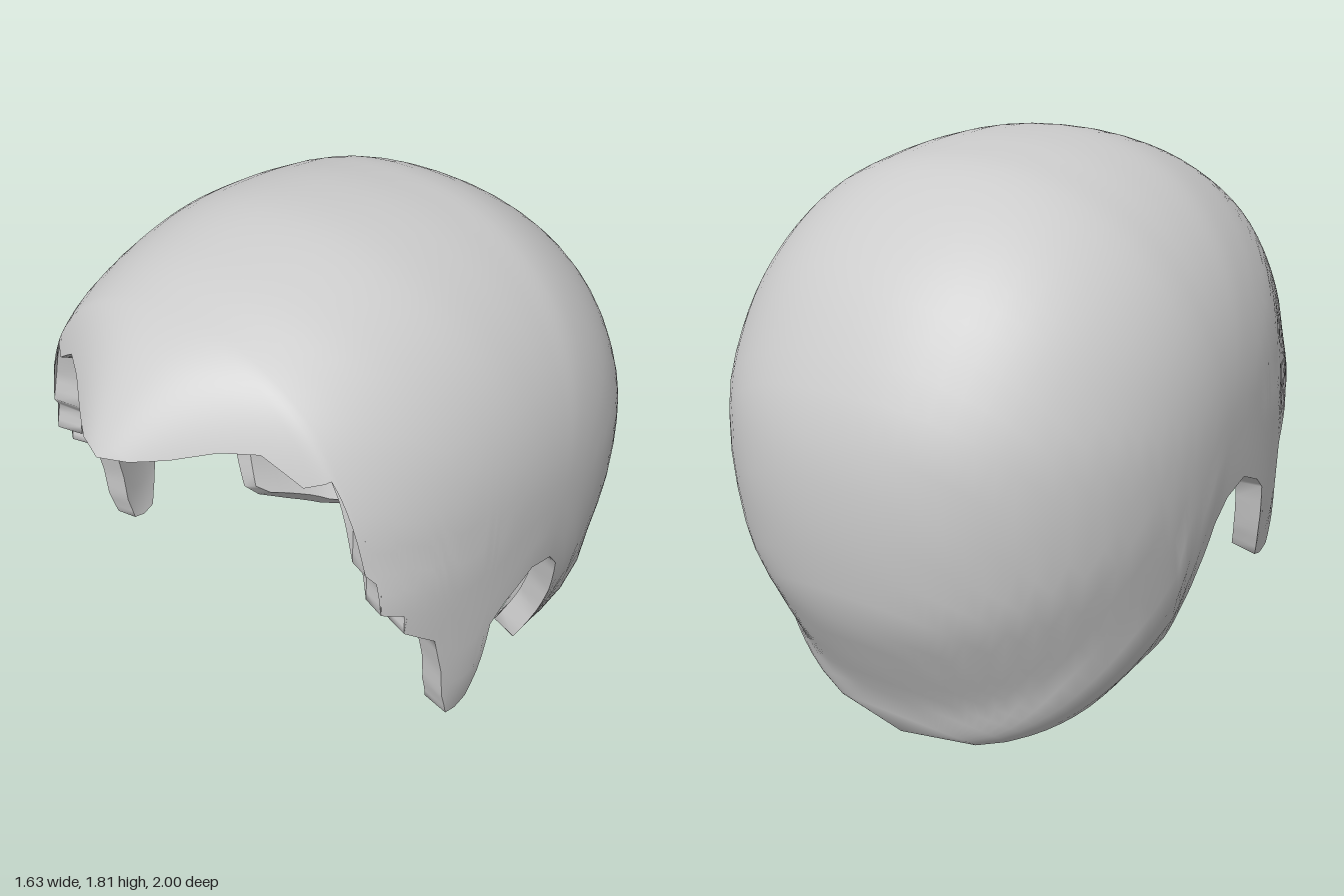
import * as THREE from 'three';

const CZ = -0.1, CY = 1.0;      // centre of the skull in the side plane
const HALF_WIDTH = 0.815, POWER = 2.2, THICKNESS = 0.088;
const SIDE_STEPS = 20, RIM_STEPS = 3;

// Side outline of the full skull form (z, y); its lower front part is cut away by the rim
const OUTLINE = [
  [1, 1.37], [0.8, 1.59], [0.6, 1.7], [0.43, 1.76], [0.22, 1.805], [0, 1.81], [-0.18, 1.795],
  [-0.37, 1.76], [-0.57, 1.66], [-0.75, 1.51], [-0.88, 1.33], [-0.975, 1.12], [-1, 0.9],
  [-0.985, 0.7], [-0.95, 0.53], [-0.87, 0.36], [-0.77, 0.17], [-0.7, 0],
  [-0.53, -0.09], [-0.2, -0.11], [0.25, -0.3], [1.12, -0.46], [1.23, 0.43], [1.2, 0.93], [1.09, 1.17],
];

// Hairline (z, y) and the angle at which its rib leaves the parting line
const RIM = [
  // fringe
  [1, 1.37, 18.6], [0.9, 1.395, 25], [0.82, 1.425, 30], [0.76, 1.43, 32], [0.72, 1.355, 33.5],
  [0.67, 1.38, 35], [0.65, 1.43, 36],
  // ragged temple and sideburn
  [0.64, 1.2, 38], [0.655, 1.1, 40], [0.62, 1.05, 42], [0.63, 0.96, 43], [0.55, 0.92, 46],
  [0.56, 0.86, 47], [0.45, 0.77, 52], [0.42, 0.63, 55], [0.41, 0.52, 57], [0.38, 0.42, 60],
  [0.33, 0.405, 63], [0.28, 0.42, 66],
  // ear opening
  [0.25, 0.52, 68], [0.22, 0.7, 71], [0.16, 0.75, 76], [0.03, 0.81, 85], [-0.08, 0.78, 95],
  [-0.14, 0.71, 103], [-0.18, 0.55, 118], [-0.19, 0.42, 130], [-0.165, 0.28, 145],
  // nape
  [-0.21, 0.23, 165], [-0.33, 0.165, 190], [-0.46, 0.1, 210], [-0.58, 0.065, 226], [-0.7, 0, 239],
];

// Outline as a table of angle and radius around the skull centre
const TAU = Math.PI * 2;
const START = Math.atan2(OUTLINE[0][1] - CY, OUTLINE[0][0] - CZ);
const wrap = (a) => (((a - START) % TAU) + TAU) % TAU;
const polar = new THREE.CatmullRomCurve3(OUTLINE.map(([z, y]) => new THREE.Vector3(z - CZ, y - CY, 0)), true)
  .getPoints(500)
  .map((p) => [wrap(Math.atan2(p.y, p.x)), Math.hypot(p.x, p.y)]);
polar[0][0] = 0;
polar[polar.length - 1][0] = TAU;

function outlineRadius(angle) {
  const a = wrap(angle);
  for (let i = 1; i < polar.length; i++) {
    if (a <= polar[i][0]) {
      const [a0, r0] = polar[i - 1], [a1, r1] = polar[i];
      return a1 > a0 ? r0 + ((r1 - r0) * (a - a0)) / (a1 - a0) : r1;
    }
  }
  return polar[0][1];
}

// 0 at the centre of the side plane, 1 on the outline
const reach = (z, y) => Math.hypot(z - CZ, y - CY) / outlineRadius(Math.atan2(y - CY, z - CZ));
// The fringe narrows to a point at the front
const maxWidth = (z) => HALF_WIDTH * (1 - 0.6 * THREE.MathUtils.clamp((z - 0.68) / 0.32, 0, 1));
const widthAt = (z, y) => maxWidth(z) * Math.pow(Math.max(0, 1 - Math.pow(reach(z, y), POWER)), 1 / POWER);
const field = (x, y, z) => Math.pow(Math.abs(x) / maxWidth(z), POWER) + Math.pow(reach(z, y), POWER);

function normalAt(p) {
  const e = 0.02;
  return new THREE.Vector3(
    field(p.x + e, p.y, p.z) - field(p.x - e, p.y, p.z),
    field(p.x, p.y + e, p.z) - field(p.x, p.y - e, p.z),
    field(p.x, p.y, p.z + e) - field(p.x, p.y, p.z - e),
  ).normalize();
}

// Ribs run from the right rim over the parting line to the left rim
function buildRibs() {
  const ribs = [];
  const count = (RIM.length - 1) * RIM_STEPS;
  for (let i = 0; i <= count; i++) {
    const k = Math.min(Math.floor(i / RIM_STEPS), RIM.length - 2);
    const f = i / RIM_STEPS - k;
    const [rz, ry, deg] = RIM[k].map((v, n) => THREE.MathUtils.lerp(v, RIM[k + 1][n], f));
    const angle = THREE.MathUtils.degToRad(deg), r = outlineRadius(angle);
    const mz = CZ + r * Math.cos(angle), my = CY + r * Math.sin(angle);
    const rib = [];
    for (let j = -SIDE_STEPS; j <= SIDE_STEPS; j++) {
      const t = Math.pow(Math.abs(j) / SIDE_STEPS, 2);
      const z = THREE.MathUtils.lerp(mz, rz, t), y = THREE.MathUtils.lerp(my, ry, t);
      rib.push(new THREE.Vector3(j === 0 ? 0 : Math.sign(j) * widthAt(z, y), y, z));
    }
    ribs.push(rib);
  }
  return ribs;
}

// Joins rows of points into a surface
function gridGeometry(rows, flip, normals) {
  const cols = rows[0].length, index = [];
  for (let i = 0; i < rows.length - 1; i++) {
    for (let j = 0; j < cols - 1; j++) {
      const a = i * cols + j, b = a + 1, c = a + cols, d = c + 1;
      if (flip) index.push(a, c, b, b, c, d);
      else index.push(a, b, c, b, d, c);
    }
  }
  const geometry = new THREE.BufferGeometry().setFromPoints(rows.flat());
  geometry.setIndex(index);
  if (normals) {
    const list = normals.flat().flatMap((n) => (flip ? [-n.x, -n.y, -n.z] : [n.x, n.y, n.z]));
    geometry.setAttribute('normal', new THREE.Float32BufferAttribute(list, 3));
  } else geometry.computeVertexNormals();
  return geometry;
}

export function createModel() {
  const group = new THREE.Group();
  group.name = 'hair';
  const material = new THREE.MeshStandardMaterial({ color: 0xcccccc });
  const edgeMaterial = new THREE.MeshStandardMaterial({ color: 0xcccccc, side: THREE.DoubleSide });
  const add = (name, geometry, mat) => {
    const mesh = new THREE.Mesh(geometry, mat);
    mesh.name = name;
    group.add(mesh);
  };

  const outer = buildRibs();
  const normals = outer.map((rib) => rib.map(normalAt));
  const inner = outer.map((rib, i) => rib.map((p, j) => p.clone().addScaledVector(normals[i][j], -THICKNESS)));
  add('outerHair', gridGeometry(outer, false, normals), material);
  add('innerLining', gridGeometry(inner, true, normals), material);

  // Thick edge along each half of the hairline
  for (const [name, j] of [['rightHairline', 0], ['leftHairline', 2 * SIDE_STEPS]]) {
    const strip = outer.map((rib, i) => [rib[j], inner[i][j]]);
    add(name, gridGeometry(strip, j === 0), edgeMaterial);
  }
  return group;
}
